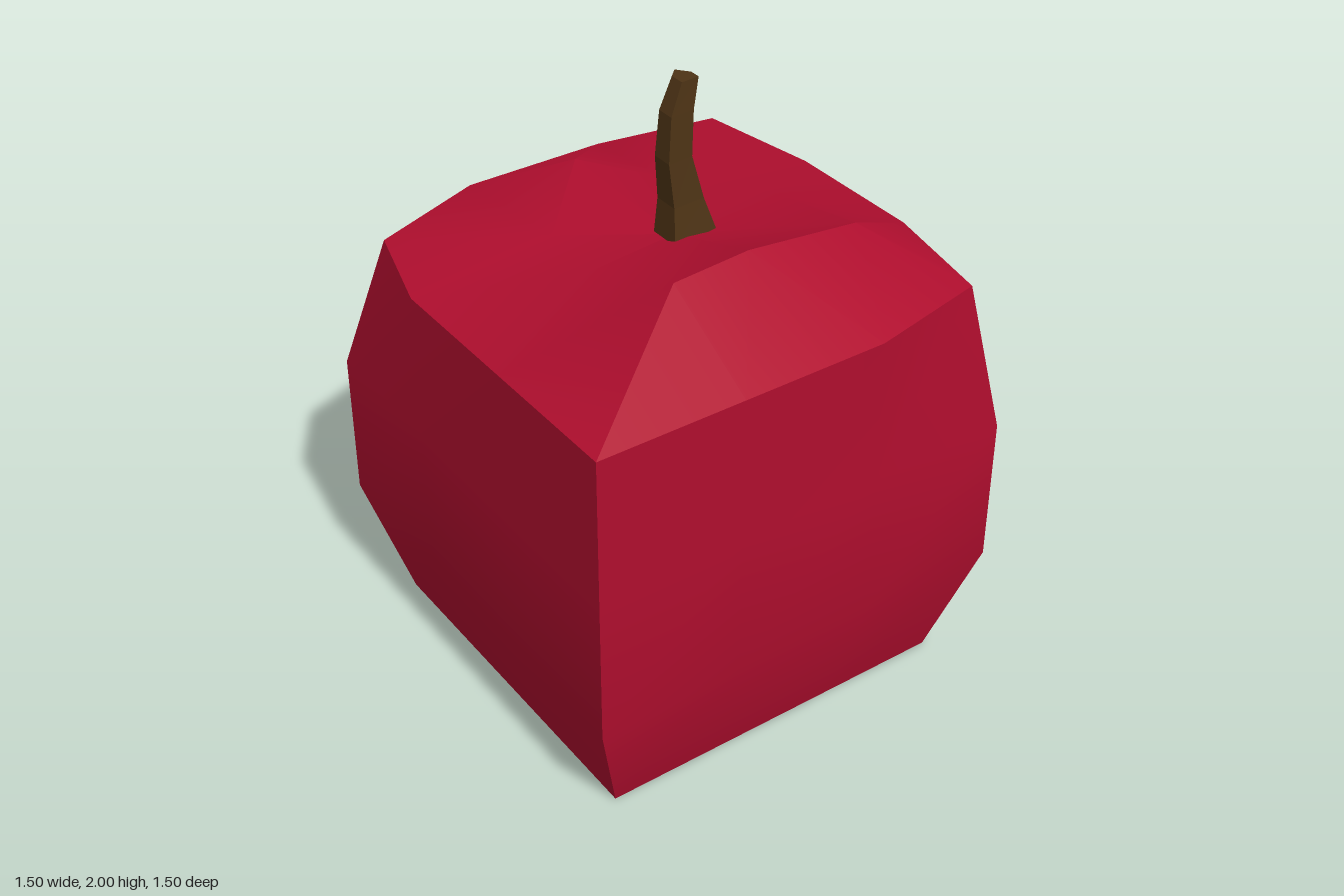
import * as THREE from 'three';
import { toCreasedNormals } from 'three/addons/utils/BufferGeometryUtils.js';

function makeGeometry(tris) {
  const g = new THREE.BufferGeometry();
  g.setAttribute('position', new THREE.Float32BufferAttribute(tris.flat(2), 3));
  g.computeVertexNormals();
  return g;
}

// Joins two closed rings of equal length; both run counter-clockwise seen from above
function bridge(tris, low, high) {
  low.forEach((a, i) => {
    const j = (i + 1) % low.length;
    tris.push([a, low[j], high[j]], [a, high[j], high[i]]);
  });
}

function fan(tris, ring, centre, up = true) {
  ring.forEach((a, i) => {
    const b = ring[(i + 1) % ring.length];
    tris.push(up ? [a, b, centre] : [b, a, centre]);
  });
}

// Square ring of 12 points starting at the front -x corner
function squareRing(h, y) {
  const t = h / 3, ring = [];
  let steps = [[-h, h], [-t, h], [t, h]];
  for (let side = 0; side < 4; side++) {
    steps.forEach(([x, z]) => ring.push([x, y, z]));
    steps = steps.map(([x, z]) => [z, -x]);
  }
  return ring;
}

function bodyGeometry() {
  const tris = [];
  const rings = [squareRing(0.63, 0), squareRing(0.75, 0.42), squareRing(0.75, 0.93), squareRing(0.75, 1.43)];
  const rim = rings[3];
  // Pulled-in upper corners
  rim[3] = [0.67, 1.43, 0.66];
  rim[6] = [0.68, 1.43, -0.68];
  rim[9] = [-0.65, 1.43, -0.6];
  for (let i = 0; i < 3; i++) bridge(tris, rings[i], rings[i + 1]);
  fan(tris, rings[0], [0, 0, 0], false);

  // Uneven shoulders around the stem hollow: corner, middle, corner, ...
  const shoulder = [
    [-0.25, 1.635, 0.4], [0.04, 1.63, 0.37], [0.47, 1.565, 0.34], [0.46, 1.5, -0.02],
    [0.25, 1.478, -0.36], [0.02, 1.54, -0.53], [-0.25, 1.48, -0.25], [-0.25, 1.468, -0.02],
  ];
  for (let s = 0; s < 4; s++) {
    const o = (k) => rim[(s * 3 + k + 12) % 12];
    const c = shoulder[s * 2], m = shoulder[s * 2 + 1], n = shoulder[(s * 2 + 2) % 8];
    tris.push([o(-1), o(0), c], [o(0), o(1), c]);
    tris.push([o(1), m, c], [o(1), o(2), m], [o(2), n, m]);
  }
  fan(tris, shoulder, [0.08, 1.465, -0.06]);
  return toCreasedNormals(makeGeometry(tris), 0.52);
}

function stemGeometry() {
  const tris = [];
  const section = [[-1, 0.85], [1, 0.75], [1, -0.1], [0, -1], [-1, -0.3]];
  // y, centre x, centre z, half width, half depth
  const rings = [
    [1.48, 0.105, -0.06, 0.082, 0.1], [1.6, 0.09, -0.06, 0.058, 0.078], [1.75, 0.065, -0.06, 0.045, 0.065],
    [1.9, 0.077, -0.06, 0.043, 0.055], [2, 0.11, -0.06, 0.032, 0.045],
  ].map(([y, cx, cz, w, d]) => section.map(([x, z]) => [cx + x * w, y, cz + z * d]));
  for (let i = 0; i < 4; i++) bridge(tris, rings[i], rings[i + 1]);
  fan(tris, rings[0], [0.105, 1.48, -0.06], false);
  fan(tris, rings[4], [0.11, 2, -0.06]);
  return makeGeometry(tris);
}

export function createModel() {
  const group = new THREE.Group();
  group.name = 'squareApple';
  const body = new THREE.Mesh(bodyGeometry(), new THREE.MeshStandardMaterial({ color: 0xb00e2e }));
  body.name = 'body';
  const stem = new THREE.Mesh(stemGeometry(), new THREE.MeshStandardMaterial({ color: 0x4d3315 }));
  stem.name = 'stem';
  group.add(body, stem);
  return group;
}
